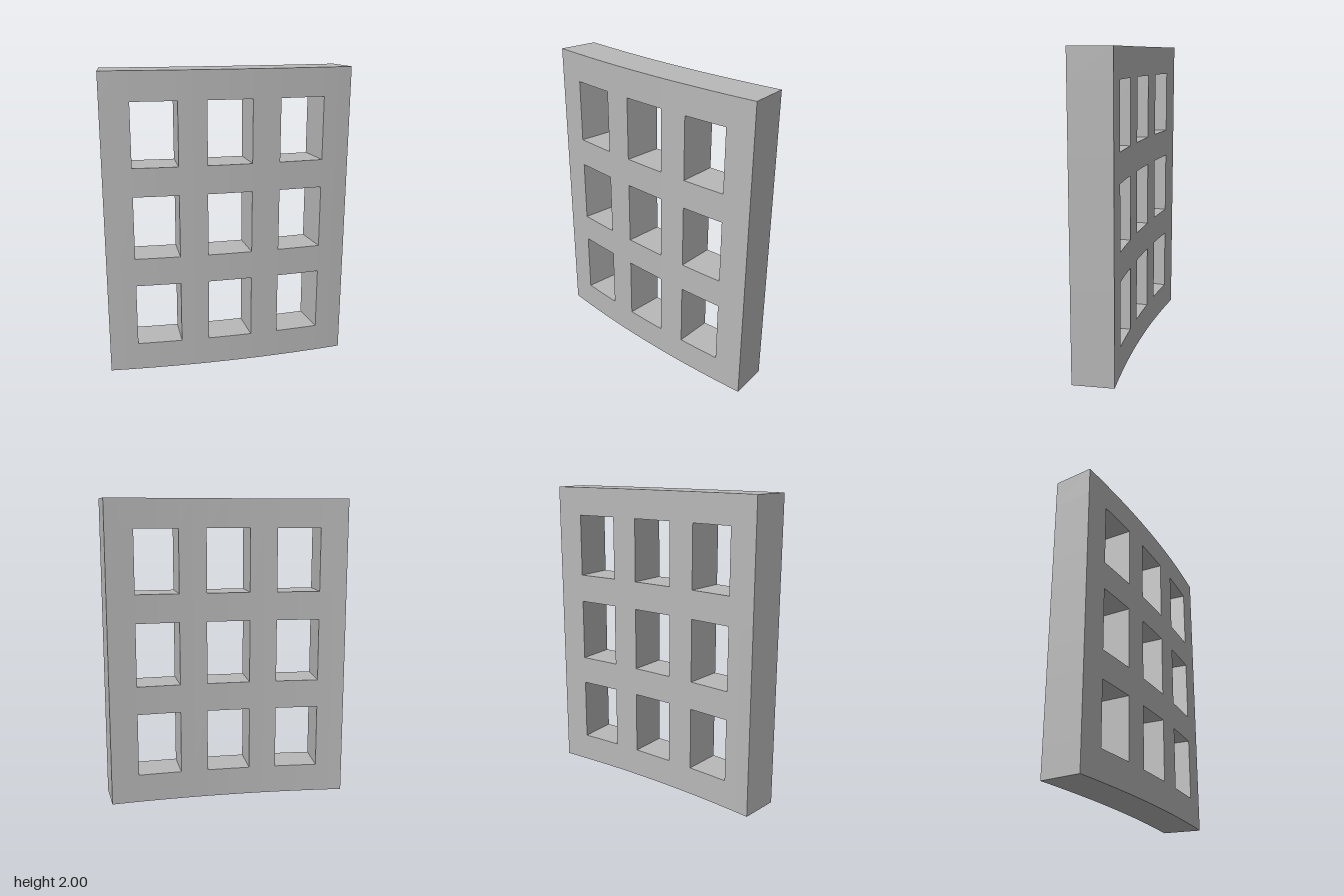
import * as THREE from 'three';

const OUTER = 8.2, INNER = 7.935, CENTRE_Z = -8.048; // arc radii and centre
const SPLIT = 2; // facets per cell along the arc

// alternating bar / opening positions, bars at even cells
function edges(start, bar, opening) {
  const list = [start];
  for (let i = 0; i < 7; i++) list.push(list[i] + (i % 2 ? opening : bar));
  return list;
}

export function createModel() {
  const group = new THREE.Group();
  const grey = new THREE.MeshStandardMaterial({ color: 0xb8b8b8 });
  grey.name = 'concrete grey';

  const angles = edges(-0.1, 0.0229, 0.0361333);
  const heights = edges(0, 0.188, 0.416);
  const solid = (i, j) => i >= 0 && j >= 0 && i < 7 && j < 7 && !(i % 2 && j % 2);
  const point = (a, y, r) => [r * Math.sin(a), y, CENTRE_Z + r * Math.cos(a)];

  const positions = [];
  const quad = (a, b, c, d) => positions.push(...a, ...b, ...c, ...a, ...c, ...d);

  for (let i = 0; i < 7; i++) for (let j = 0; j < 7; j++) {
    if (!solid(i, j)) continue;
    const y0 = heights[j], y1 = heights[j + 1];
    for (let s = 0; s < SPLIT; s++) {
      const a0 = THREE.MathUtils.lerp(angles[i], angles[i + 1], s / SPLIT);
      const a1 = THREE.MathUtils.lerp(angles[i], angles[i + 1], (s + 1) / SPLIT);
      const F = (a, y) => point(a, y, OUTER), B = (a, y) => point(a, y, INNER);
      // front and back skins
      quad(F(a0, y0), F(a1, y0), F(a1, y1), F(a0, y1));
      quad(B(a1, y0), B(a0, y0), B(a0, y1), B(a1, y1));
      // top and bottom faces, including sills and heads of the openings
      if (!solid(i, j + 1)) quad(F(a0, y1), F(a1, y1), B(a1, y1), B(a0, y1));
      if (!solid(i, j - 1)) quad(B(a0, y0), B(a1, y0), F(a1, y0), F(a0, y0));
      // radial end faces and jambs
      if (s === 0 && !solid(i - 1, j)) quad(B(a0, y0), F(a0, y0), F(a0, y1), B(a0, y1));
      if (s === SPLIT - 1 && !solid(i + 1, j)) quad(F(a1, y0), B(a1, y0), B(a1, y1), F(a1, y1));
    }
  }

  const geometry = new THREE.BufferGeometry();
  geometry.setAttribute('position', new THREE.Float32BufferAttribute(positions, 3));
  geometry.computeVertexNormals();
  const panel = new THREE.Mesh(geometry, grey);
  panel.name = 'curvedLatticePanel';
  group.add(panel);
  return group;
}
